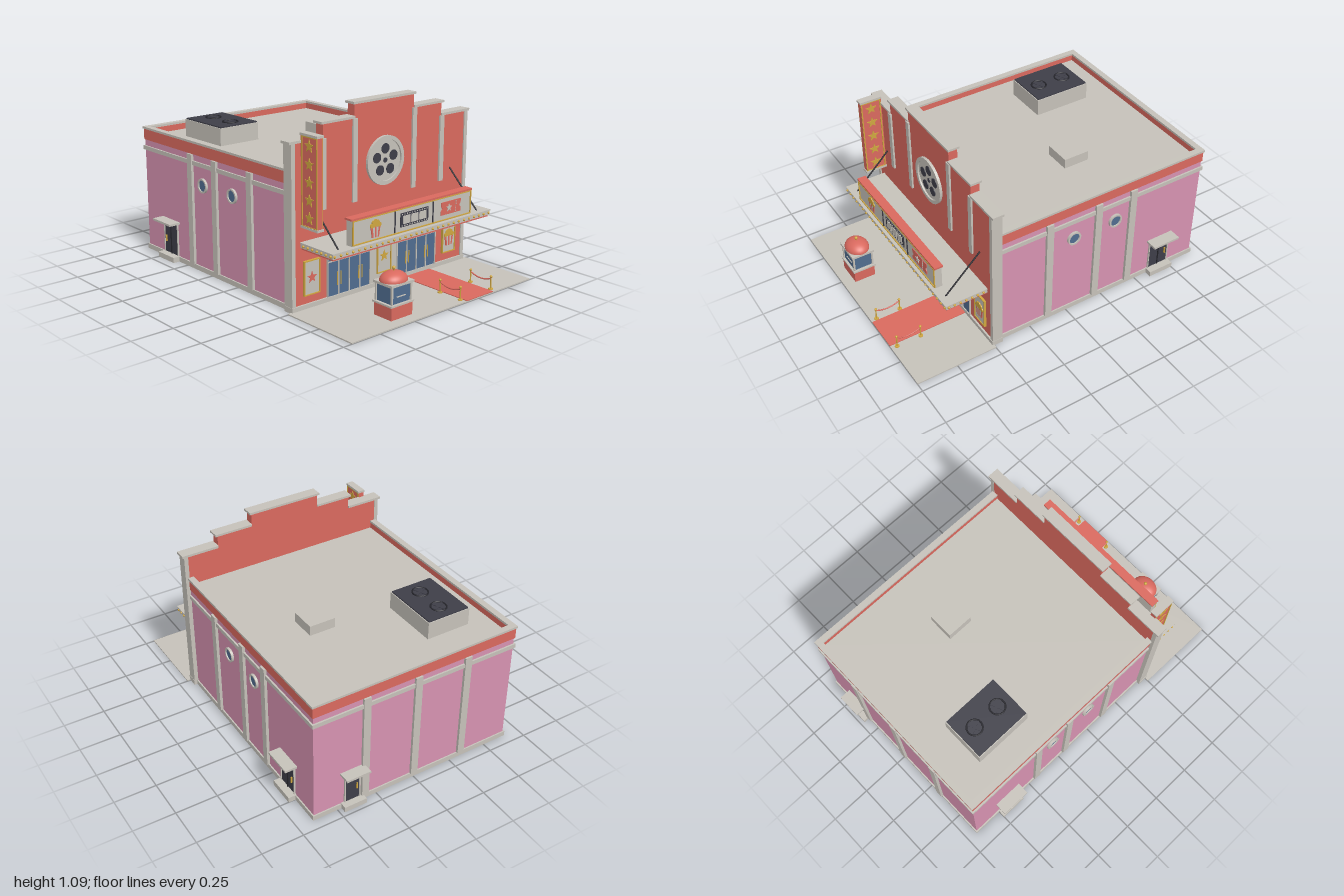
import * as THREE from 'three';

const mat = (name, color) => {
  const m = new THREE.MeshStandardMaterial({ color });
  m.name = name;
  return m;
};

export function createModel() {
  const root = new THREE.Group();
  root.name = 'cinema';
  const red = mat('coralRed', 0xd9695e), pink = mat('pinkWall', 0xd692b0), grey = mat('warmGrey', 0xc5c1b9);
  const dark = mat('charcoal', 0x3e3e48), blue = mat('glassBlue', 0x506c8f), gold = mat('gold', 0xcfa640);
  const black = mat('blackMetal', 0x25252b);

  const add = (name, geo, m, x = 0, y = 0, z = 0) => {
    const mesh = new THREE.Mesh(geo, m);
    mesh.name = name;
    mesh.position.set(x, y, z);
    root.add(mesh);
    return mesh;
  };
  // box from its two opposite corners
  const box = (name, m, x0, x1, y0, y1, z0, z1) => add(name,
    new THREE.BoxGeometry(Math.abs(x1 - x0), Math.abs(y1 - y0), Math.abs(z1 - z0)), m,
    (x0 + x1) / 2, (y0 + y1) / 2, (z0 + z1) / 2);
  // thin plate cut from a shape, facing +z
  const plate = (name, m, shape, x, y, z, depth = 0.005) => add(name,
    new THREE.ExtrudeGeometry(shape, { depth, bevelEnabled: false, curveSegments: 20 }), m, x, y, z);
  const polygon = pts => new THREE.Shape(pts.map(p => new THREE.Vector2(p[0], p[1])));
  const star = r => polygon(Array.from({ length: 10 }, (_, i) => {
    const a = Math.PI / 2 + i * Math.PI / 5, q = i % 2 ? r * 0.42 : r;
    return [q * Math.cos(a), q * Math.sin(a)];
  }));
  const disc = (r, hole = 0) => {
    const s = new THREE.Shape().absarc(0, 0, r, 0, Math.PI * 2);
    if (hole) s.holes.push(new THREE.Path().absarc(0, 0, hole, 0, Math.PI * 2, true));
    return s;
  };
  const frame = (w, h, t) => {
    const s = polygon([[-w, -h], [w, -h], [w, h], [-w, h]]);
    s.holes.push(polygon([[-w + t, -h + t], [-w + t, h - t], [w - t, h - t], [w - t, -h + t]]));
    return s;
  };
  const bar = (name, m, a, b, r) => {
    const p = new THREE.Vector3(...a), d = new THREE.Vector3(...b).sub(p);
    const mesh = add(name, new THREE.CylinderGeometry(r, r, d.length(), 8), m);
    mesh.position.copy(p).addScaledVector(d, 0.5);
    mesh.quaternion.setFromUnitVectors(new THREE.Vector3(0, 1, 0), d.normalize());
  };

  // hall side walls, pilasters, round windows and side doors
  for (const s of [-1, 1]) {
    box('sideWall', pink, s * 0.625, s * 0.645, 0.03, 0.7, -0.93, 0.445);
    box('sidePlinth', grey, s * 0.625, s * 0.653, 0, 0.03, -0.938, 0.445);
    box('sideTrim', grey, s * 0.64, s * 0.655, 0.637, 0.662, -0.94, 0.445);
    box('sideParapet', red, s * 0.62, s * 0.65, 0.7, 0.767, -0.935, 0.445);
    box('sideParapetCap', grey, s * 0.618, s * 0.656, 0.767, 0.78, -0.94, 0.445);
    for (const z of [0.128, -0.198, -0.438])
      box('sidePilaster', grey, s * 0.62, s * 0.662, 0.03, 0.7, z - 0.022, z + 0.022);
    for (const z of [-0.037, -0.32]) {
      const ring = plate('roundWindowFrame', grey, disc(0.043, 0.033), s * 0.645, 0.53, z, 0.014);
      ring.rotation.y = s * Math.PI / 2;
      const glass = add('roundWindowGlass', new THREE.CylinderGeometry(0.034, 0.034, 0.04, 28), blue, s * 0.632, 0.53, z);
      glass.rotation.z = Math.PI / 2;
    }
    box('sideDoor', dark, s * 0.615, s * 0.65, 0.03, 0.235, -0.738, -0.602);
    for (const z of [-0.6, -0.67, -0.74])
      box('sideDoorFrame', z === -0.67 ? black : grey, s * 0.645, s * 0.655, 0.03, 0.23, z - 0.003, z + 0.003);
    box('sideDoorHandle', gold, s * 0.65, s * 0.66, 0.1, 0.14, -0.72, -0.715);
    box('sideDoorCanopy', grey, s * 0.64, s * 0.718, 0.234, 0.247, -0.763, -0.582);
    box('sideDoorStep', grey, s * 0.64, s * 0.695, 0, 0.032, -0.752, -0.588);
  }

  // rear wall and rear door
  box('rearWall', pink, -0.645, 0.645, 0.03, 0.7, -0.93, -0.91);
  box('rearPlinth', grey, -0.653, 0.653, 0, 0.03, -0.938, -0.91);
  box('rearTrim', grey, -0.655, 0.655, 0.637, 0.662, -0.94, -0.925);
  box('rearParapet', red, -0.65, 0.65, 0.7, 0.767, -0.935, -0.905);
  box('rearParapetCap', grey, -0.656, 0.656, 0.767, 0.78, -0.94, -0.903);
  for (const x of [-0.325, 0, 0.325])
    box('rearPilaster', grey, x - 0.022, x + 0.022, 0.03, 0.7, -0.946, -0.905);
  box('rearDoor', dark, 0.36, 0.45, 0.03, 0.235, -0.935, -0.9);
  for (const x of [0.358, 0.452]) box('rearDoorFrame', grey, x - 0.004, x + 0.004, 0.03, 0.235, -0.94, -0.925);
  box('rearDoorHandle', gold, 0.375, 0.38, 0.1, 0.14, -0.943, -0.934);
  box('rearDoorCanopy', grey, 0.33, 0.48, 0.234, 0.247, -1, -0.925);
  box('rearDoorStep', grey, 0.335, 0.475, 0, 0.032, -0.975, -0.925);

  // roof, ventilation unit and hatch
  box('roof', grey, -0.625, 0.625, 0.715, 0.73, -0.91, 0.445);
  box('ventUnit', grey, -0.485, -0.21, 0.73, 0.835, -0.725, -0.365);
  box('ventTop', dark, -0.48, -0.215, 0.835, 0.842, -0.72, -0.37);
  for (const z of [-0.63, -0.46]) {
    const ring = add('fanRing', new THREE.TorusGeometry(0.045, 0.005, 8, 28), black, -0.345, 0.843, z);
    ring.rotation.x = Math.PI / 2;
    for (const a of [0.4, 0.4 + Math.PI / 2])
      add('fanBlade', new THREE.BoxGeometry(0.08, 0.004, 0.014), dark, -0.345, 0.844, z).rotation.y = a;
  }
  box('roofHatch', grey, 0.155, 0.315, 0.73, 0.79, -0.36, -0.2);

  // stepped facade with caps and pilasters
  plate('facade', red, polygon([[-0.66, 0], [0.66, 0], [0.66, 0.922], [0.45, 0.922], [0.45, 0.998], [0.225, 0.998],
    [0.225, 1.075], [-0.225, 1.075], [-0.225, 0.998], [-0.45, 0.998], [-0.45, 0.922], [-0.66, 0.922]]), 0, 0, 0.445, 0.055);
  box('centreCap', grey, -0.237, 0.237, 1.075, 1.088, 0.438, 0.508);
  for (const s of [-1, 1]) {
    box('middleCap', grey, s * 0.225, s * 0.465, 0.998, 1.011, 0.438, 0.508);
    box('wingCap', grey, s * 0.45, s * 0.683, 0.922, 0.936, 0.438, 0.508);
    box('edgePilaster', grey, s * 0.645, s * 0.67, 0.03, 0.922, 0.443, 0.507);
    box('outerPilaster', grey, s * 0.435, s * 0.468, 0.535, 0.922, 0.495, 0.511);
    box('innerPilaster', grey, s * 0.21, s * 0.242, 0.535, 0.998, 0.495, 0.511);
  }
  box('facadePlinth', grey, -0.672, 0.672, 0, 0.032, 0.443, 0.511);

  // film reel window
  plate('reelDisc', grey, disc(0.122), 0, 0.733, 0.5, 0.006);
  plate('reelRim', grey, disc(0.14, 0.118), 0, 0.733, 0.5, 0.016);
  plate('reelHub', dark, disc(0.014), 0, 0.733, 0.505);
  for (let i = 0; i < 5; i++) {
    const a = Math.PI / 2 + i * Math.PI * 2 / 5;
    plate('reelHole', dark, disc(0.029), 0.066 * Math.cos(a), 0.733 + 0.066 * Math.sin(a), 0.505);
  }

  // popcorn picture of height h
  const popcorn = (x, y, z, h) => {
    for (let i = 0; i < 5; i++) {
      const t = (i - 2.5) / 5, u = (i - 1.5) / 5, w = h * 0.72, b = h * 0.5;
      plate('popcornBucket', i % 2 ? grey : red, polygon([[t * b, -h / 2], [u * b, -h / 2], [u * w, h * 0.12], [t * w, h * 0.12]]), x, y, z);
    }
    for (const [dx, dy] of [[-0.28, 0.18], [-0.1, 0.2], [0.1, 0.2], [0.28, 0.18], [-0.15, 0.34], [0.15, 0.34], [0, 0.4]])
      plate('popcornPiece', gold, disc(h * 0.125), x + dx * h, y + dy * h, z, 0.007);
  };

  // entrance doors
  box('entrancePier', grey, -0.11, 0.11, 0.03, 0.285, 0.495, 0.506);
  for (const s of [-1, 1]) {
    const c = s * 0.263;
    box('entranceGlass', blue, c - 0.157, c + 0.157, 0.032, 0.275, 0.495, 0.505);
    box('entranceLintel', grey, c - 0.168, c + 0.168, 0.272, 0.292, 0.495, 0.52);
    box('entranceTransom', grey, c - 0.157, c + 0.157, 0.228, 0.234, 0.5, 0.51);
    for (let i = 0; i < 5; i++) {
      const x = c + (i - 2) * 0.0785;
      box('entranceMullion', grey, x - 0.003, x + 0.003, 0.032, 0.275, 0.5, 0.51);
      if (i % 2) for (const d of [-0.012, 0.012]) bar('entranceHandle', gold, [x + d, 0.09, 0.512], [x + d, 0.165, 0.512], 0.003);
    }
  }

  // posters
  for (const x of [-0.535, 0, 0.535]) {
    box('posterPanel', grey, x - 0.052, x + 0.052, 0.082, 0.273, 0.495, 0.509);
    plate('posterFrame', gold, frame(0.055, 0.098, 0.006), x, 0.178, 0.5, 0.014);
  }
  plate('posterStar', red, star(0.034), -0.535, 0.178, 0.508);
  plate('posterStar', gold, star(0.034), 0, 0.178, 0.508);
  popcorn(0.535, 0.173, 0.508, 0.1);

  // marquee canopy with bulbs and tie rods
  box('canopy', grey, -0.605, 0.605, 0.355, 0.382, 0.5, 0.757);
  box('canopyUnderside', red, -0.598, 0.598, 0.344, 0.355, 0.5, 0.75);
  box('canopyEdge', grey, -0.61, 0.61, 0.38, 0.386, 0.5, 0.762);
  const bulb = new THREE.SphereGeometry(0.0075, 10, 8);
  for (let i = 0; i < 29; i++) add('frontBulb', bulb, gold, (i - 14) * 0.0425, 0.368, 0.759);
  for (const s of [-1, 1]) {
    for (let i = 0; i < 7; i++) add('sideBulb', bulb, gold, s * 0.607, 0.368, 0.525 + i * 0.036);
    bar('tieRod', black, [s * 0.535, 0.6, 0.5], [s * 0.535, 0.384, 0.72], 0.0045);
  }

  // marquee sign with its pictures
  box('signBox', grey, -0.456, 0.456, 0.384, 0.528, 0.695, 0.738);
  box('signTop', red, -0.464, 0.464, 0.526, 0.537, 0.689, 0.742);
  plate('signFrame', gold, frame(0.456, 0.068, 0.006), 0, 0.458, 0.736, 0.008);
  for (const x of [-0.148, 0.146]) box('signDivider', dark, x - 0.003, x + 0.003, 0.398, 0.518, 0.735, 0.743);
  popcorn(-0.292, 0.455, 0.737, 0.098);
  box('filmStrip', dark, -0.107, 0.107, 0.42, 0.498, 0.735, 0.742);
  for (let i = -1; i <= 1; i++) box('filmFrame', grey, i * 0.062 - 0.027, i * 0.062 + 0.027, 0.436, 0.482, 0.738, 0.745);
  for (let i = 0; i < 11; i++) for (const y of [0.427, 0.491])
    box('filmHole', grey, (i - 5) * 0.019 - 0.004, (i - 5) * 0.019 + 0.004, y - 0.003, y + 0.003, 0.738, 0.744);
  plate('ticket', red, polygon([[-0.08, -0.037], [0.08, -0.037], [0.08, -0.014], [0.068, 0], [0.08, 0.014], [0.08, 0.037],
    [-0.08, 0.037], [-0.08, 0.014], [-0.068, 0], [-0.08, -0.014]]), 0.29, 0.459, 0.737);
  plate('ticketStar', grey, star(0.024), 0.272, 0.459, 0.741);
  for (let i = 0; i < 5; i++) box('ticketPerforation', grey, 0.326, 0.33, 0.428 + i * 0.014, 0.435 + i * 0.014, 0.74, 0.745);

  // vertical blade sign
  box('bladeSign', red, -0.6, -0.566, 0.478, 0.966, 0.5, 0.632);
  for (const y of [0.468, 0.964]) box('bladeCap', grey, -0.606, -0.56, y, y + 0.013, 0.5, 0.637);
  for (const s of [-1, 1]) {
    const x = -0.583 + s * 0.016;
    plate('bladeFrame', gold, frame(0.062, 0.243, 0.007), x, 0.721, 0.569).rotation.y = s * Math.PI / 2;
    for (let i = 0; i < 5; i++)
      plate('bladeStar', gold, star(0.036), x, 0.53 + i * 0.096, 0.569).rotation.y = s * Math.PI / 2;
  }

  // pavement, carpet and rope barriers
  box('pavement', grey, -0.695, 0.695, 0, 0.007, 0.5, 1);
  box('carpet', red, 0.155, 0.372, 0.006, 0.011, 0.505, 1);
  for (const x of [0.14, 0.393]) {
    for (const z of [0.815, 0.965]) {
      add('postBase', new THREE.CylinderGeometry(0.013, 0.014, 0.006, 16), gold, x, 0.01, z);
      bar('post', gold, [x, 0.007, z], [x, 0.08, z], 0.004);
      add('postKnob', new THREE.SphereGeometry(0.008, 10, 8), gold, x, 0.082, z);
    }
    const rope = new THREE.QuadraticBezierCurve3(new THREE.Vector3(x, 0.072, 0.815), new THREE.Vector3(x, 0.035, 0.89), new THREE.Vector3(x, 0.072, 0.965));
    add('rope', new THREE.TubeGeometry(rope, 12, 0.004, 6), red);
  }

  // ticket booth
  box('boothBase', red, -0.355, -0.2, 0.007, 0.082, 0.802, 0.932);
  box('boothLedge', grey, -0.362, -0.193, 0.08, 0.09, 0.795, 0.938);
  box('boothGlass', blue, -0.345, -0.21, 0.09, 0.19, 0.81, 0.924);
  for (const x of [-0.347, -0.208]) for (const z of [0.808, 0.926])
    box('boothPost', grey, x - 0.005, x + 0.005, 0.09, 0.19, z - 0.005, z + 0.005);
  box('boothRail', grey, -0.31, -0.245, 0.125, 0.13, 0.92, 0.928);
  box('boothCornice', grey, -0.36, -0.195, 0.188, 0.202, 0.797, 0.937);
  add('boothDome', new THREE.SphereGeometry(1, 32, 12, 0, Math.PI * 2, 0, Math.PI / 2), red, -0.278, 0.202, 0.867).scale.set(0.083, 0.05, 0.07);
  bar('finialStem', gold, [-0.278, 0.245, 0.867], [-0.278, 0.268, 0.867], 0.003);
  add('finialBall', new THREE.SphereGeometry(0.01, 14, 10), gold, -0.278, 0.268, 0.867);

  return root;
}
